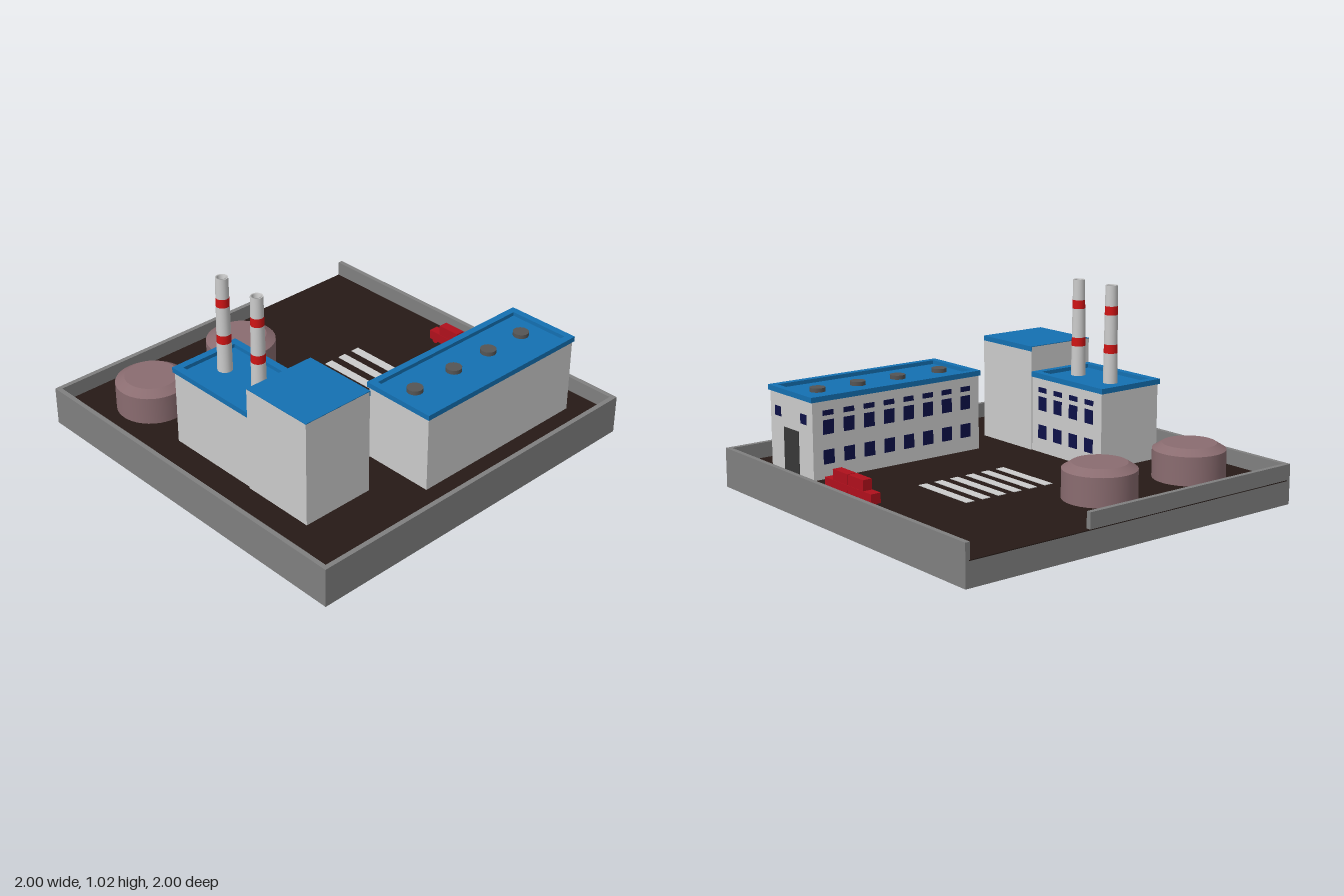
import * as THREE from 'three';

const material = (color) => new THREE.MeshStandardMaterial({ color });
const M = {
  wall: material(0xcccccc), concrete: material(0x808080), ground: material(0x261a16),
  blue: material(0x1470b2), glass: material(0x0d1148), door: material(0x383838),
  red: material(0xd01414), car: material(0xb0101c), tank: material(0x8a6c70),
  vent: material(0x555555), soot: material(0x101010),
};
const FLOOR = 0.125;

function add(parent, name, geometry, mat) {
  const mesh = new THREE.Mesh(geometry, mat);
  mesh.name = name;
  parent.add(mesh);
  return mesh;
}

// Box given by its limits on each axis
function box(parent, name, mat, x0, x1, y0, y1, z0, z1) {
  const mesh = add(parent, name, new THREE.BoxGeometry(x1 - x0, y1 - y0, z1 - z0), mat);
  mesh.position.set((x0 + x1) / 2, (y0 + y1) / 2, (z0 + z1) / 2);
  return mesh;
}

function group(parent, name) {
  const g = new THREE.Group();
  g.name = name;
  parent.add(g);
  return g;
}

// Raised rim around a sunken flat roof
function parapetRoof(parent, x0, x1, z0, z1, rim) {
  const corners = (d) => [[x0 + d, -z1 + d], [x1 - d, -z1 + d], [x1 - d, -z0 - d], [x0 + d, -z0 - d]]
    .map(([x, y]) => new THREE.Vector2(x, y));
  const shape = new THREE.Shape(corners(0));
  shape.holes.push(new THREE.Path(corners(rim).reverse()));
  const geometry = new THREE.ExtrudeGeometry(shape, { depth: 0.027, bevelEnabled: false });
  geometry.rotateX(-Math.PI / 2);
  add(parent, 'roofParapet', geometry, M.blue).position.y = 0.518;
  box(parent, 'roofDeck', M.blue, x0 + rim, x1 - rim, 0.515, 0.525, z0 + rim, z1 - rim);
}

// Vertical limits of the lower window, upper window and transom
const WINDOW_ROWS = [[0.2, 0.272], [0.35, 0.422], [0.445, 0.471]];

function chimney(parent, x, z) {
  const g = group(parent, 'chimney');
  g.position.set(x, 0, z);
  const y0 = 0.52, y1 = 1.025;
  const radius = (y) => 0.038 - 0.007 * (y - y0) / (y1 - y0);
  const levels = [y0, 0.68, 0.725, 0.875, 0.92, y1];
  for (let i = 0; i < 5; i++) {
    const a = levels[i], b = levels[i + 1], striped = i % 2 === 1;
    const geometry = new THREE.CylinderGeometry(radius(b), radius(a), b - a, 20, 1, true);
    add(g, striped ? 'redBand' : 'chimneyShaft', geometry, striped ? M.red : M.wall).position.y = (a + b) / 2;
  }
  // Lip, inner flue and dark bottom
  const flue = [[0.031, y1], [0.021, y1], [0.021, y1 - 0.05]].map((p) => new THREE.Vector2(...p));
  const lip = M.wall.clone();
  lip.side = THREE.DoubleSide;
  add(g, 'chimneyLip', new THREE.LatheGeometry(flue, 20), lip);
  const bottom = add(g, 'flueOpening', new THREE.CircleGeometry(0.021, 20), M.soot);
  bottom.rotation.x = -Math.PI / 2;
  bottom.position.y = y1 - 0.03;
}

function tank(parent, x, z) {
  const g = group(parent, 'storageTank');
  g.position.set(x, 0, z);
  add(g, 'tankShell', new THREE.CylinderGeometry(0.183, 0.183, 0.15, 40), M.tank).position.y = 0.195;
  add(g, 'tankLid', new THREE.CylinderGeometry(0.135, 0.183, 0.03, 40), M.tank).position.y = 0.285;
}

// Car with its bonnet towards dir along z
function car(parent, z, dir) {
  const g = group(parent, 'car');
  g.position.set(0.847, 0, z);
  if (dir < 0) g.rotation.y = Math.PI;
  box(g, 'carBody', M.car, -0.027, 0.027, FLOOR + 0.015, 0.19, -0.097, 0.097);
  box(g, 'carCabin', M.car, -0.025, 0.025, 0.19, 0.243, -0.095, 0.03);
  for (const x of [-0.022, 0.022]) for (const wz of [-0.06, 0.06]) {
    const wheel = add(g, 'wheel', new THREE.CylinderGeometry(0.02, 0.02, 0.01, 16), M.car);
    wheel.rotation.z = Math.PI / 2;
    wheel.position.set(x, FLOOR + 0.02, wz);
  }
}

export function createModel() {
  const root = new THREE.Group();
  root.name = 'factory';

  // Yard with perimeter walls and a gate gap at the back
  const yard = group(root, 'yard');
  box(yard, 'baseSlab', M.concrete, -1, 1, 0, FLOOR - 0.004, -1, 1);
  box(yard, 'ground', M.ground, -0.98, 0.98, FLOOR - 0.004, FLOOR, -1, 0.98);
  box(yard, 'leftWall', M.concrete, 0.975, 1, FLOOR - 0.005, 0.205, -1, 1);
  box(yard, 'rightWall', M.concrete, -1, -0.975, FLOOR - 0.005, 0.205, -1, 1);
  box(yard, 'frontWall', M.concrete, -0.975, 0.975, FLOOR - 0.005, 0.205, 0.975, 1);
  box(yard, 'backWall', M.concrete, -0.975, 0.305, FLOOR - 0.005, 0.205, -1, -0.975);
  for (let i = 0; i < 6; i++) {
    const x = -0.02 + i * 0.0955;
    box(yard, 'groundStripe', M.wall, x - 0.024, x + 0.024, FLOOR, FLOOR + 0.003, -0.33, 0.05);
  }

  // Boiler house: low wing with chimneys and a tall block
  const boiler = group(root, 'boilerHouse');
  box(boiler, 'lowWing', M.wall, -0.768, -0.387, FLOOR, 0.518, -0.3, 0.236);
  parapetRoof(boiler, -0.775, -0.38, -0.31, 0.236, 0.038);
  box(boiler, 'tallBlock', M.wall, -0.775, -0.381, FLOOR, 0.673, 0.236, 0.635);
  box(boiler, 'tallRoof', M.blue, -0.775, -0.38, 0.673, 0.676, 0.236, 0.635);
  box(boiler, 'tallRoofBand', M.blue, -0.384, -0.379, 0.65, 0.676, 0.236, 0.635);
  for (let i = 0; i < 4; i++) for (const [y0, y1] of WINDOW_ROWS) {
    const z = 0.153 - i * 0.12;
    box(boiler, 'window', M.glass, -0.39, -0.384, y0, y1, z - 0.031, z + 0.031);
  }
  for (const z of [-0.15, 0.097]) chimney(boiler, -0.58, z);

  // Production hall
  const hall = group(root, 'productionHall');
  box(hall, 'hallWalls', M.wall, -0.183, 0.836, FLOOR, 0.518, 0.43, 0.818);
  parapetRoof(hall, -0.19, 0.845, 0.422, 0.825, 0.036);
  for (const x of [-0.06, 0.205, 0.45, 0.69]) {
    add(hall, 'roofVent', new THREE.CylinderGeometry(0.04, 0.04, 0.024, 24), M.vent).position.set(x, 0.534, 0.61);
  }
  for (let i = 0; i < 8; i++) for (const [y0, y1] of WINDOW_ROWS) {
    const x = -0.094 + i * 0.12;
    box(hall, 'window', M.glass, x - 0.031, x + 0.031, y0, y1, 0.427, 0.433);
  }
  box(hall, 'door', M.door, 0.833, 0.839, FLOOR, 0.35, 0.558, 0.694);
  for (const z of [0.51, 0.747]) {
    box(hall, 'sideWindow', M.glass, 0.833, 0.839, 0.397, 0.447, z - 0.027, z + 0.027);
  }

  // Tanks and parked cars
  for (const x of [-0.655, -0.065]) tank(root, x, -0.648);
  car(root, 0.172, 1);
  car(root, -0.024, -1);
  return root;
}
